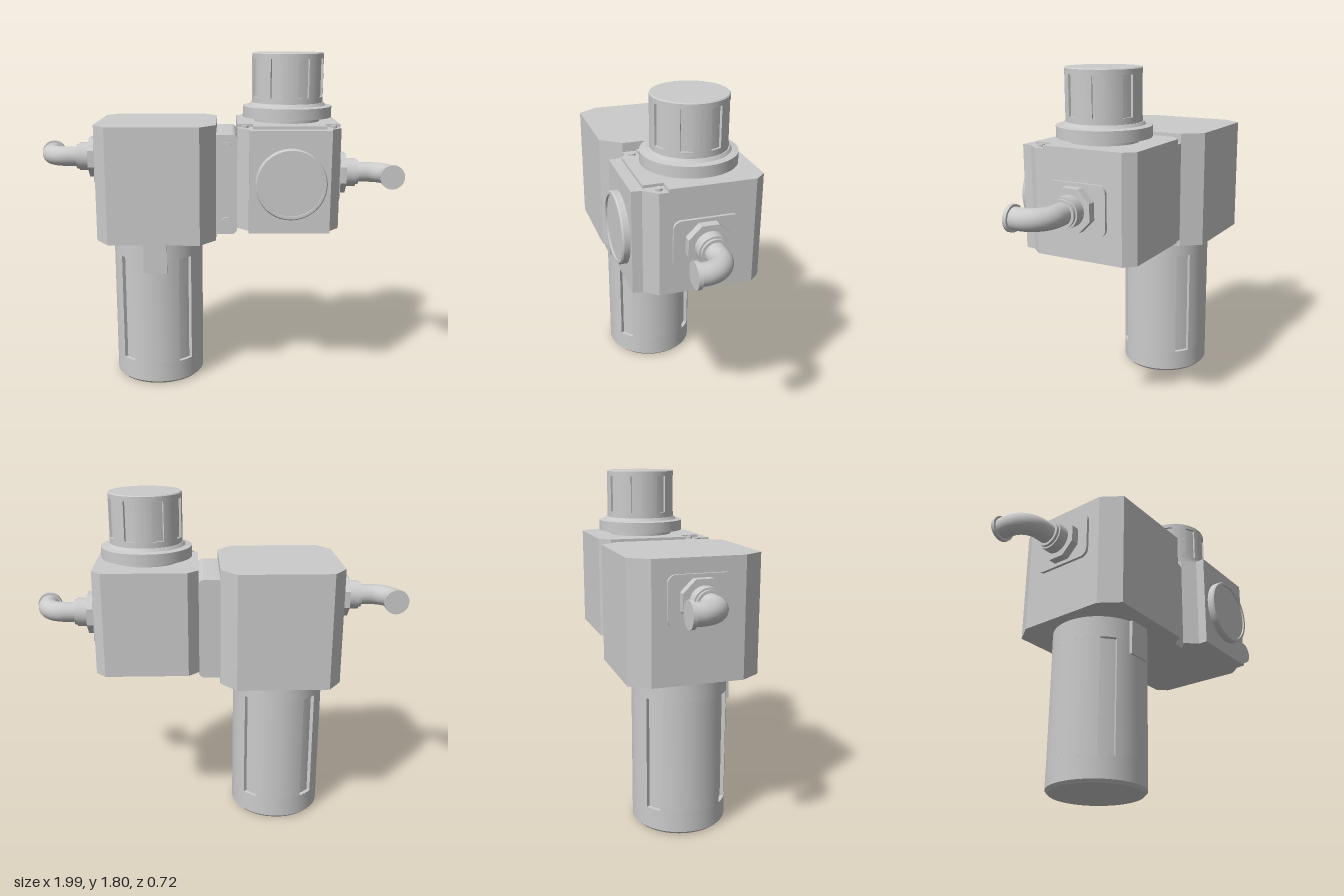
import * as THREE from 'three';
import { toCreasedNormals } from 'three/addons/utils/BufferGeometryUtils.js';

const material = new THREE.MeshStandardMaterial({ color: 0xcccccc });
const CZ = -0.02; // common depth axis of the unit

function add(parent, name, geometry, x = 0, y = 0, z = 0) {
  const mesh = new THREE.Mesh(toCreasedNormals(geometry, 0.5), material);
  mesh.name = name;
  mesh.position.set(x, y, z);
  parent.add(mesh);
  return mesh;
}

// Vertical prism from an outline of [x, z] points
function prism(points, y0, y1) {
  const shape = new THREE.Shape(points.map(([x, z]) => new THREE.Vector2(x, -z)));
  const g = new THREE.ExtrudeGeometry(shape, { depth: y1 - y0, bevelEnabled: false });
  return g.rotateX(-Math.PI / 2).translate(0, y0, 0);
}

// Circle outline with shallow notches; angles are measured from +x towards +z
function notchedCircle(r, depth, angles, halfWidth) {
  const pts = [];
  const at = (a, rad) => pts.push([Math.cos(a) * rad, Math.sin(a) * rad]);
  angles.forEach((a, i) => {
    const next = i + 1 < angles.length ? angles[i + 1] : angles[0] + 2 * Math.PI;
    const start = a + halfWidth, end = next - halfWidth;
    at(a - halfWidth, r - depth);
    at(a, r - depth);
    at(start, r - depth);
    for (let k = 0; k <= 12; k++) at(start + (end - start) * k / 12, r);
  });
  return pts;
}

function lathe(profile, segments = 64) {
  return new THREE.LatheGeometry(profile.map(([r, y]) => new THREE.Vector2(r, y)), segments);
}

function cylinderX(r, x0, x1, sides = 40) {
  return new THREE.CylinderGeometry(r, r, x1 - x0, sides).rotateZ(-Math.PI / 2).translate((x0 + x1) / 2, 0, 0);
}

function cylinderZ(r, z0, z1, sides = 40) {
  return new THREE.CylinderGeometry(r, r, z1 - z0, sides).rotateX(Math.PI / 2).translate(0, 0, (z0 + z1) / 2);
}

// Rounded rectangle plate, extruded along +z
function roundedPlate(w, h, r, depth) {
  const s = new THREE.Shape(), a = w / 2, b = h / 2;
  s.absarc(a - r, b - r, r, 0, Math.PI / 2);
  s.absarc(-a + r, b - r, r, Math.PI / 2, Math.PI);
  s.absarc(-a + r, -b + r, r, Math.PI, Math.PI * 1.5);
  s.absarc(a - r, -b + r, r, Math.PI * 1.5, Math.PI * 2);
  return new THREE.ExtrudeGeometry(s, { depth, bevelEnabled: false, curveSegments: 8 });
}

// Port plate, nut, collar and elbow pipe, pointing along +x and bending to +z
function createFitting(name) {
  const g = new THREE.Group();
  g.name = name;
  add(g, 'portPlate', roundedPlate(0.33, 0.25, 0.04, 0.015).rotateY(Math.PI / 2));
  add(g, 'portNut', cylinderX(0.115, 0.015, 0.058, 8).rotateX(Math.PI / 8));
  add(g, 'portCollar', cylinderX(0.077, 0.058, 0.115));
  add(g, 'portSleeve', cylinderX(0.068, 0.115, 0.13));
  const path = new THREE.CurvePath();
  const v = (x, z) => new THREE.Vector3(x, 0, z);
  path.add(new THREE.LineCurve3(v(0.1, 0), v(0.18, 0)));
  path.add(new THREE.CubicBezierCurve3(v(0.18, 0), v(0.242, 0), v(0.292, 0.05), v(0.292, 0.112)));
  path.add(new THREE.LineCurve3(v(0.292, 0.112), v(0.292, 0.15)));
  add(g, 'elbowPipe', new THREE.TubeGeometry(path, 36, 0.054, 28, false));
  add(g, 'pipeFlange', cylinderZ(0.065, 0.143, 0.163), 0.292, 0, 0);
  return g;
}

export function createModel() {
  const model = new THREE.Group();
  model.name = 'filterRegulator';

  // Filter housing with chamfered upright edges
  add(model, 'filterHousing', prism([
    [-0.64, 0.21], [-0.57, 0.315], [-0.088, 0.315], [-0.005, 0.21],
    [-0.005, -0.26], [-0.088, -0.36], [-0.57, -0.36], [-0.64, -0.26],
  ], 0.83, 1.445));

  // Filter bowl: plain foot, slotted middle, plain top
  const bowl = new THREE.Group();
  bowl.name = 'filterBowl';
  bowl.position.set(-0.332, 0, CZ);
  model.add(bowl);
  const R = 0.247, t = 0.87;
  add(bowl, 'bowlFoot', lathe([[0, 0], [R - 0.015, 0], [R, 0.015], [R, 0.125], [0, 0.125]]));
  add(bowl, 'bowlSlots', prism(notchedCircle(R, 0.02, [t, Math.PI - t, Math.PI + t, 2 * Math.PI - t], 0.17), 0.125, 0.72));
  add(bowl, 'bowlTop', lathe([[0, 0.72], [R, 0.72], [R, 0.84], [0, 0.84]]));
  add(bowl, 'bowlLatch', new THREE.BoxGeometry(0.125, 0.185, 0.08), 0.002, 0.7425, 0.216);

  // Spacer clamp between the two housings
  add(model, 'spacer', roundedPlate(0.15, 0.53, 0.03, 0.47), 0.032, 1.13, -0.26);
  for (const y of [0.93, 1.33]) add(model, 'spacerScrew', cylinderZ(0.028, 0.2, 0.222, 24), 0.05, y, 0);

  // Regulator housing, with a top plate cut away at the front corners
  add(model, 'regulatorHousing', prism([
    [0.105, 0.21], [0.165, 0.275], [0.165, 0.325], [0.58, 0.325], [0.585, 0.275], [0.64, 0.21],
    [0.64, -0.265], [0.59, -0.32], [0.16, -0.32], [0.105, -0.265],
  ], 0.9, 1.43));
  add(model, 'regulatorTopPlate', prism([
    [0.105, 0.165], [0.185, 0.165], [0.185, 0.265], [0.56, 0.265], [0.56, 0.165], [0.64, 0.165],
    [0.64, -0.265], [0.59, -0.32], [0.16, -0.32], [0.105, -0.265],
  ], 1.43, 1.445));
  for (const x of [0.145, 0.6]) {
    add(model, 'topScrew', new THREE.CylinderGeometry(0.017, 0.017, 0.02, 20), x, 1.433, 0.2);
  }

  // Round gauge cover with a raised rim
  const gauge = lathe([[0, 0.3], [0.182, 0.3], [0.182, 0.355], [0.176, 0.363], [0.163, 0.363], [0.163, 0.353], [0, 0.353]]);
  add(model, 'gaugeCover', gauge.rotateX(Math.PI / 2), 0.377, 1.16, 0);

  // Adjustment knob: neck, collar and grip with eight notches
  const knob = new THREE.Group();
  knob.name = 'adjustmentKnob';
  knob.position.set(0.375, 0, CZ);
  model.add(knob);
  add(knob, 'knobNeck', lathe([[0, 1.44], [0.175, 1.44], [0.175, 1.48], [0, 1.48]]));
  add(knob, 'knobCollar', lathe([[0, 1.468], [0.238, 1.468], [0.238, 1.525], [0.205, 1.53], [0.195, 1.545], [0, 1.545]]));
  add(knob, 'knobBase', lathe([[0, 1.54], [0.19, 1.54], [0.19, 1.575], [0, 1.575]]));
  const notches = Array.from({ length: 8 }, (_, i) => (i + 0.5) * Math.PI / 4);
  add(knob, 'knobGrip', prism(notchedCircle(0.19, 0.012, notches, 0.16), 1.575, 1.775));
  add(knob, 'knobCap', lathe([[0, 1.775], [0.19, 1.775], [0.19, 1.8], [0.185, 1.805], [0, 1.805]]));

  // Pipe fittings on both ends
  const leftFitting = createFitting('leftFitting');
  leftFitting.position.set(0.64, 1.16, CZ);
  const rightFitting = createFitting('rightFitting');
  rightFitting.position.set(-0.64, 1.245, CZ);
  rightFitting.rotation.y = Math.PI;
  model.add(leftFitting, rightFitting);

  return model;
}
